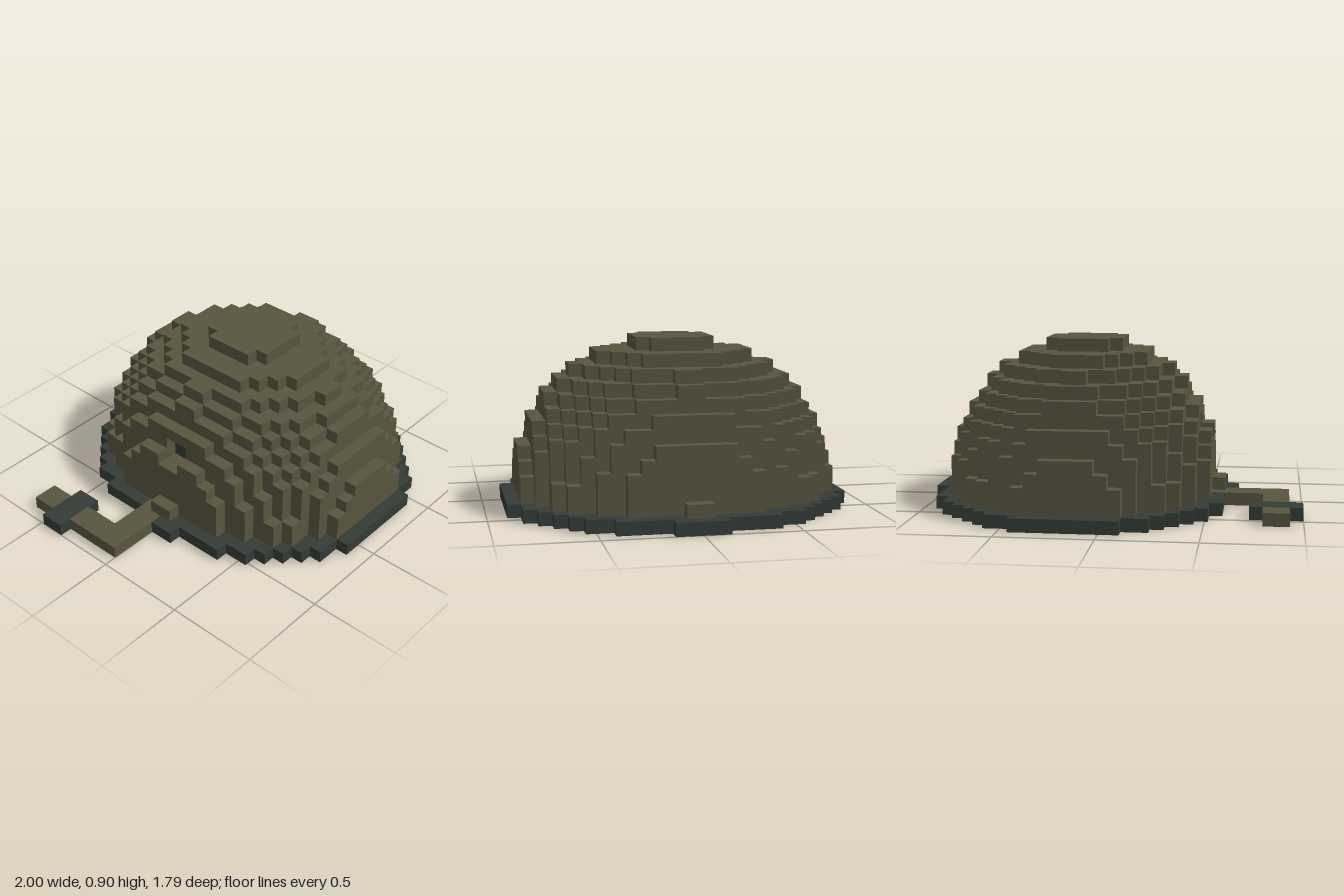
import * as THREE from 'three';
import { mergeGeometries } from 'three/addons/utils/BufferGeometryUtils.js';

const V = 2 / 29;        // voxel size
const CX = 2.5;          // dome centre in voxels along x

const olive = new THREE.MeshStandardMaterial({ color: 0x58553f });
olive.name = 'olive';
const darkGreen = new THREE.MeshStandardMaterial({ color: 0x343c37 });
darkGreen.name = 'dark green';

// Box given by its two corners in voxel units
function block(x0, x1, y0, y1, z0, z1) {
  const g = new THREE.BoxGeometry((x1 - x0) * V, (y1 - y0) * V, (z1 - z0) * V);
  return g.translate((x0 + x1) / 2 * V, (y0 + y1) / 2 * V, (z0 + z1) / 2 * V);
}

// Half width in whole voxels of a voxelised ellipse row
function halfWidth(a2, rest) {
  return rest < 1 ? Math.round(Math.sqrt(a2 * (1 - rest))) : 0;
}

function part(name, boxes, material) {
  const mesh = new THREE.Mesh(mergeGeometries(boxes), material);
  mesh.name = name;
  return mesh;
}

export function createModel() {
  const model = new THREE.Group();
  model.name = 'steppedDome';

  // Base disc, one voxel thick; two rows on the right make room for the arm
  const base = [];
  for (let z = -13; z < 13; z++) {
    const w = halfWidth(134.56, (z + 0.5) ** 2 / 178);
    const left = z === -2 || z === -1 ? -10 : -w;
    base.push(block(CX + left, CX + w, 0, 1, z, z + 1));
  }
  model.add(part('baseRim', base, darkGreen));

  // Half ellipsoid in voxel rows, with a small opening on the right side
  const dome = [];
  for (let y = 1; y <= 12; y++) {
    for (let z = -12; z < 12; z++) {
      const w = halfWidth(111, (z + 0.5) ** 2 / 150.5 + (y - 1) ** 2 / 131.3);
      if (!w) continue;
      const open = (y === 5 || y === 6) && (z === -1 || z === 0);
      dome.push(block(CX - (open ? 8 : w), CX + w, y, y + 1, z, z + 1));
    }
  }
  model.add(part('dome', dome, olive));

  // Dark back of the opening
  model.add(part('openingBack', [block(CX - 8.1, CX - 8, 5, 7, -1, 1)], darkGreen));

  // Bent arm lying on the ground, with a crossbar near its end
  model.add(part('arm', [
    block(-13.5, CX - 10, 0, 1, -2, 0),
    block(-13.5, -11.5, 0, 1, -5, -2),
    block(-13.5, -11.5, 0, 1, -9, -7),
  ], olive));
  model.add(part('armCrossbar', [block(-14.5, -10.5, 0, 1, -7, -5)], darkGreen));

  return model;
}
